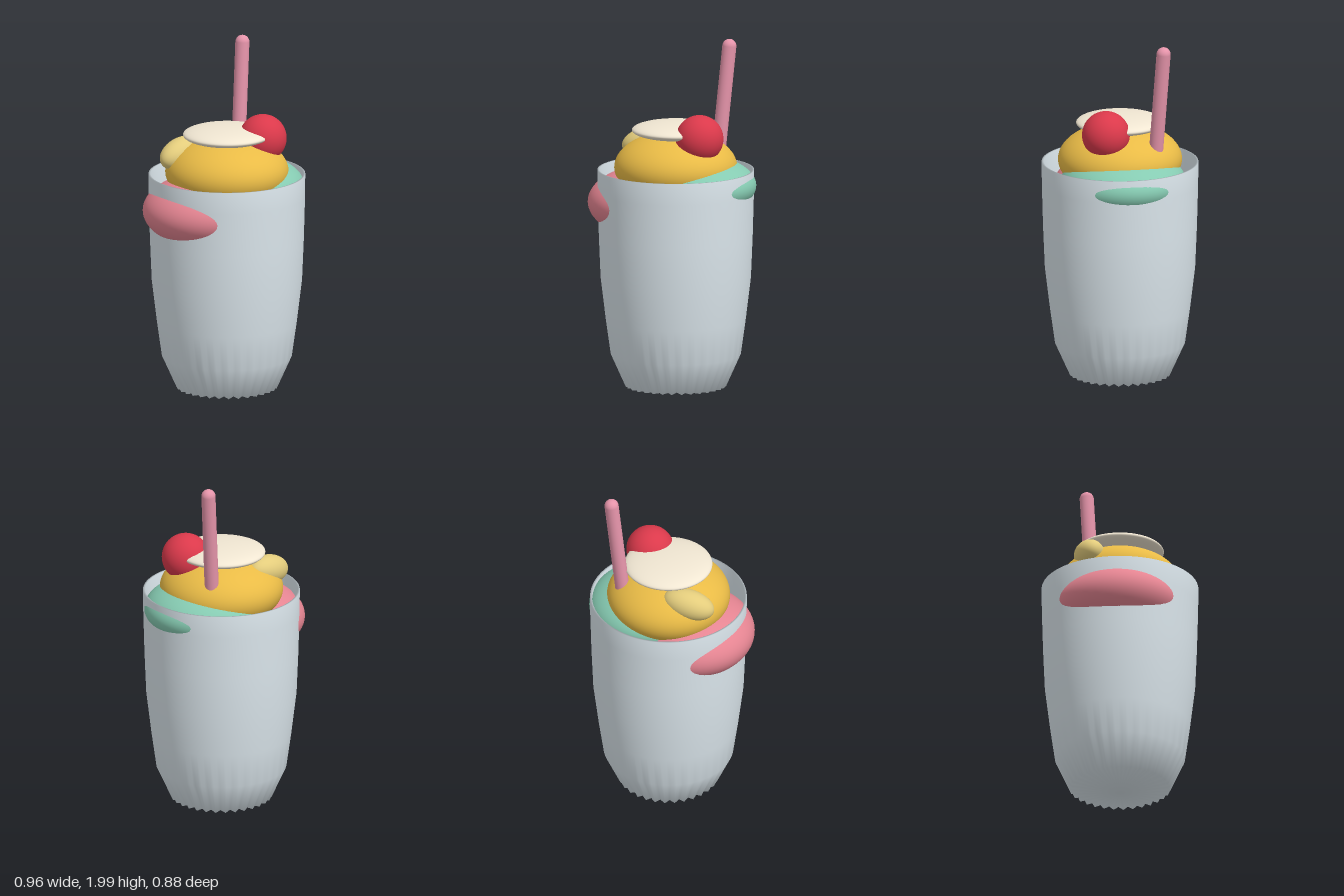
import * as THREE from 'three';
import { mergeVertices } from 'three/addons/utils/BufferGeometryUtils.js';

const CX = 0.022; // axis of the cup

const paint = (color, side = THREE.FrontSide) =>
  new THREE.MeshStandardMaterial({ color, side, roughness: 0.6 });

// Sphere stretched to the given radii
function blob(name, color, [x, y, z], [rx, ry, rz]) {
  const mesh = new THREE.Mesh(new THREE.SphereGeometry(1, 64, 40), paint(color));
  mesh.name = name;
  mesh.position.set(x, y, z);
  mesh.scale.set(rx, ry, rz);
  return mesh;
}

// Thin-walled cup with a fluted foot
function makeCup() {
  const profile = [
    [0, 0.005], [0.277, 0.04], [0.367, 0.22], [0.395, 0.42], [0.424, 0.66],
    [0.434, 0.9], [0.441, 1.15], [0.442, 1.276],
    [0.431, 1.276], [0.43, 1.15], [0.412, 0.66], [0.355, 0.23], [0.26, 0.09], [0, 0.08],
  ].map(([r, y]) => new THREE.Vector2(r, y));
  let geo = new THREE.LatheGeometry(profile, 128);

  // Press flutes into the ring at the foot
  const flutes = 32;
  const pos = geo.attributes.position;
  for (let i = 0; i < pos.count; i++) {
    if (Math.abs(pos.getY(i) - 0.04) > 0.001) continue;
    const x = pos.getX(i), z = pos.getZ(i);
    const wave = Math.cos(flutes * Math.atan2(x, z));
    const k = 1 + 0.025 * wave;
    pos.setXYZ(i, x * k, 0.04 - 0.006 * wave, z * k);
  }
  geo.deleteAttribute('uv');
  geo.deleteAttribute('normal');
  geo = mergeVertices(geo, 1e-5);
  geo.computeVertexNormals();

  const cup = new THREE.Mesh(geo, paint(0xdbe6ec, THREE.DoubleSide));
  cup.name = 'cup';
  cup.position.x = CX;
  return cup;
}

// Slanted straw with a round tip
function makeStraw() {
  const foot = new THREE.Vector3(0.211, 1.2, -0.16);
  const tip = new THREE.Vector3(0.278, 1.96, -0.205);
  const axis = tip.clone().sub(foot);
  const straw = new THREE.Mesh(
    new THREE.CapsuleGeometry(0.04, axis.length(), 12, 32), paint(0xe594aa));
  straw.name = 'straw';
  straw.position.copy(foot).add(tip).multiplyScalar(0.5);
  straw.quaternion.setFromUnitVectors(new THREE.Vector3(0, 1, 0), axis.normalize());
  return straw;
}

export function createModel() {
  const model = new THREE.Group();
  model.name = 'sundae';

  // Fruit slice leaning on the upper scoop
  const slice = blob('fruitSlice', 0xe3cc7c, [-0.185, 1.395, -0.16], [0.15, 0.085, 0.085]);
  slice.rotation.set(0, 0.22, 0.2);

  model.add(
    makeCup(),
    blob('lowerScoop', 0xe58592, [CX, 1.0, 0], [0.385, 0.2, 0.385]),
    blob('pinkScoop', 0xe58592, [-0.13, 1.085, 0], [0.35, 0.2, 0.355]),
    blob('mintScoop', 0x86cbb2, [0.13, 1.19, 0], [0.35, 0.17, 0.352]),
    blob('yellowScoop', 0xe9bb46, [CX, 1.29, 0], [0.347, 0.2, 0.35]),
    blob('creamTopping', 0xf0e6d2, [CX, 1.503, 0], [0.248, 0.047, 0.248]),
    blob('cherry', 0xdb394b, [0.192, 1.48, 0.11], [0.135, 0.135, 0.135]),
    slice,
    makeStraw(),
  );
  return model;
}
